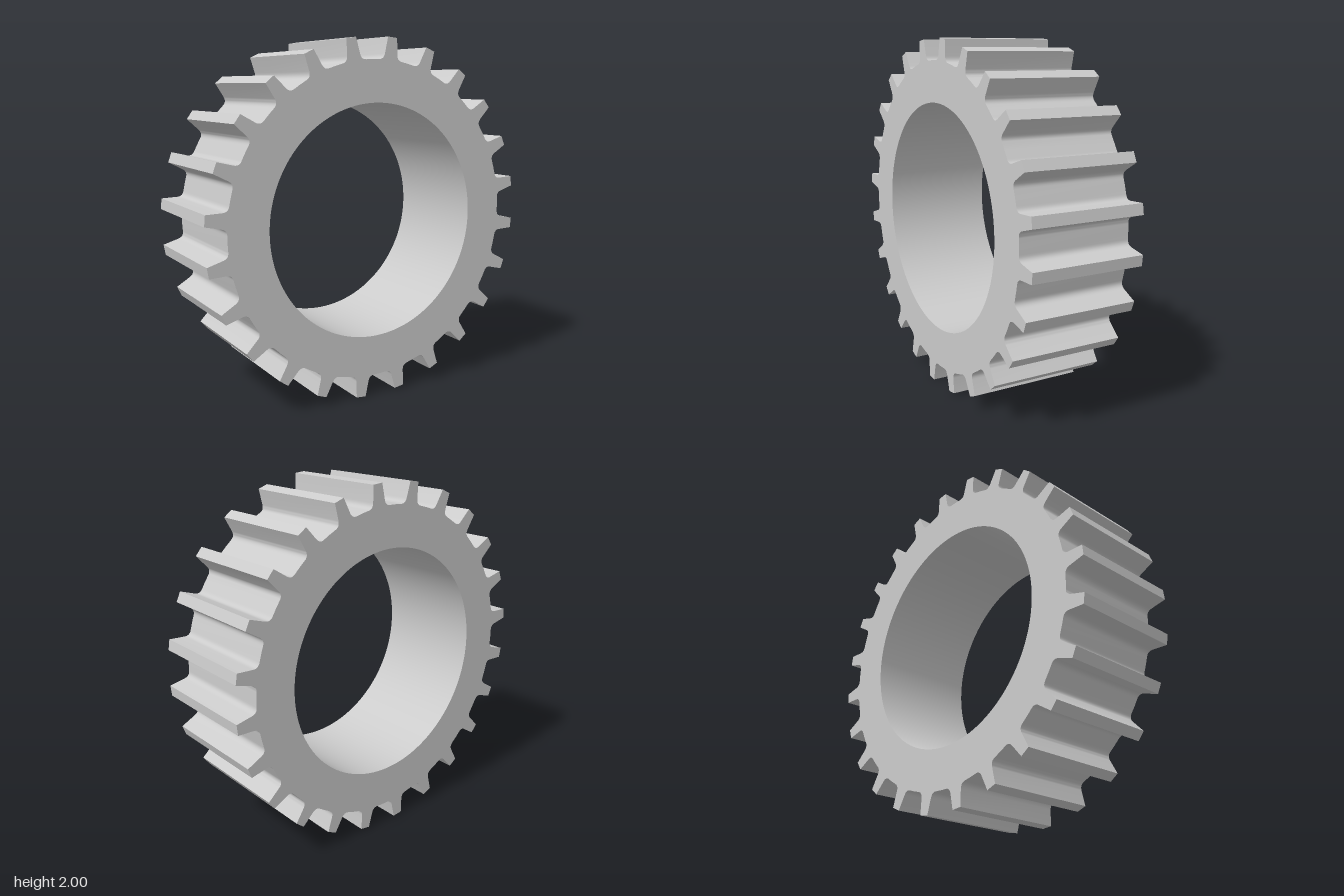
import * as THREE from 'three';
import { toCreasedNormals } from 'three/addons/utils/BufferGeometryUtils.js';

const TEETH = 24;
const WIDTH = 0.654;
const TIP_R = 1.002, FLANK_R = 0.912, ROOT_R = 0.881, BORE_R = 0.651;
const rad = THREE.MathUtils.degToRad;

// Point at a radius and an angle in degrees, clockwise from the top
const polar = (r, deg) => new THREE.Vector2(r * Math.sin(rad(deg)), r * Math.cos(rad(deg)));

// Closed gear outline: straight flanks, filleted roots
function gearOutline() {
  const pitch = 360 / TEETH;
  const points = [];
  for (let i = 0; i < TEETH; i++) {
    const a = 5.5 + i * pitch; // tooth centre
    const b = a + pitch / 2;   // gap centre
    points.push(polar(TIP_R, a - 1.7), polar(TIP_R, a + 1.7));
    const fillet = (side) => new THREE.QuadraticBezierCurve(
      polar(FLANK_R, b + side * 4.95), polar(ROOT_R, b + side * 4.6), polar(ROOT_R, b + side * 2.6)
    ).getPoints(6);
    points.push(...fillet(-1), polar(ROOT_R, b), ...fillet(1).reverse());
  }
  return points.reverse(); // counter-clockwise
}

export function createModel() {
  const group = new THREE.Group();
  group.name = 'spurGear';

  const shape = new THREE.Shape(gearOutline());
  const bore = new THREE.Path();
  bore.absarc(0, 0, BORE_R, 0, Math.PI * 2, true);
  shape.holes.push(bore);

  // Toothed ring, extruded along z
  const geometry = new THREE.ExtrudeGeometry(shape, {
    depth: WIDTH, bevelEnabled: false, curveSegments: 120,
  });
  geometry.translate(0, 1, -WIDTH / 2);

  const ring = new THREE.Mesh(
    toCreasedNormals(geometry, rad(35)),
    new THREE.MeshStandardMaterial({ color: 0xcccccc })
  );
  ring.name = 'toothedRing';
  group.add(ring);
  return group;
}
